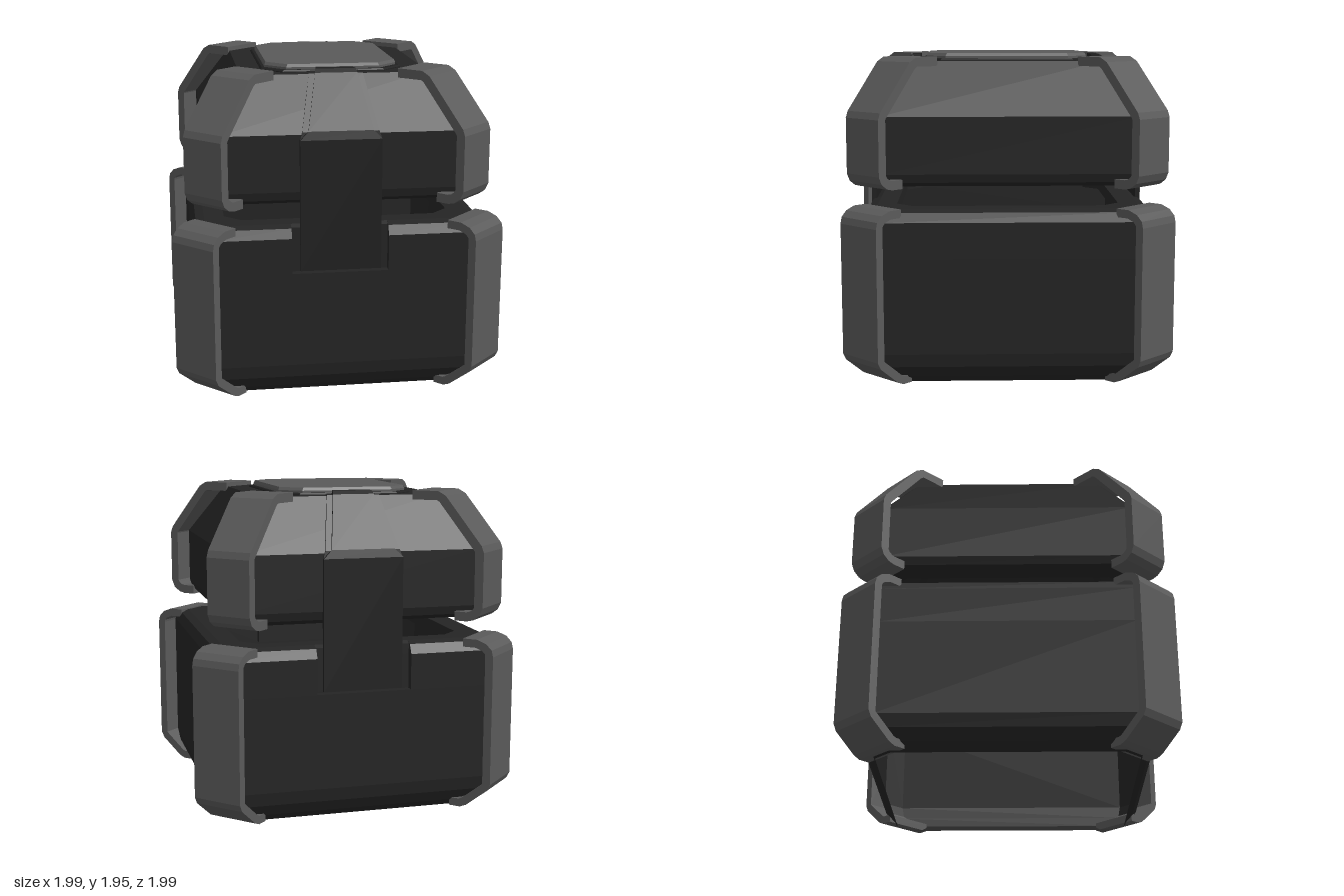
import * as THREE from 'three';

const material = (color) => new THREE.MeshStandardMaterial({ color, flatShading: true, side: THREE.DoubleSide });

// Skin a list of closed cross-sections (each a list of [x, y, z]), optionally capping the ends.
function loft(rings, capStart, capEnd) {
  const pos = [];
  const tri = (a, b, c) => pos.push(...a, ...b, ...c);
  const n = rings[0].length;
  for (let i = 0; i < rings.length - 1; i++) {
    for (let j = 0; j < n; j++) {
      const k = (j + 1) % n;
      const [a, b, c, d] = [rings[i][j], rings[i][k], rings[i + 1][k], rings[i + 1][j]];
      tri(a, b, c);
      tri(a, c, d);
    }
  }
  const first = rings[0], last = rings[rings.length - 1];
  for (let j = 1; j < n - 1; j++) {
    if (capStart) tri(first[0], first[j + 1], first[j]);
    if (capEnd) tri(last[0], last[j], last[j + 1]);
  }
  const geo = new THREE.BufferGeometry();
  geo.setAttribute('position', new THREE.Float32BufferAttribute(pos, 3));
  geo.computeVertexNormals();
  return geo;
}

// Rectangle with cut corners; a notch depth adds a recess in the front and back edges.
function section(hx, hz, cut, y, notch) {
  const half = (s) => {
    const pts = [[-hx + cut, hz]];
    if (notch !== undefined) {
      const l = s > 0 ? -0.3 : -0.275, r = s > 0 ? 0.275 : 0.3;
      pts.push([l, hz], [l, hz - notch], [r, hz - notch], [r, hz]);
    }
    pts.push([hx - cut, hz], [hx, hz - cut], [hx, -hz + cut]);
    return pts.map(([x, z]) => [s * x, y, s * z]);
  };
  // each half ends on the side edge; the other half continues from there
  return [...half(1), ...half(-1)];
}

// Bent strip: a profile of [radius, height] thickened inwards and extruded across its width.
function guardGeometry(path, thickness, width) {
  const inner = path.map(([r, y], i) => {
    const a = path[Math.max(i - 1, 0)], b = path[Math.min(i + 1, path.length - 1)];
    const dx = b[0] - a[0], dy = b[1] - a[1], len = Math.hypot(dx, dy);
    return [r + (dy / len) * thickness, y - (dx / len) * thickness];
  });
  const shape = new THREE.Shape([...path, ...inner.reverse()].map(([r, y]) => new THREE.Vector2(r, y)));
  const geo = new THREE.ExtrudeGeometry(shape, { depth: width, bevelEnabled: false });
  return geo.translate(0, 0, -width / 2);
}

// Flat plate with cut corners
function plateGeometry(hx, hz, cut, y, height) {
  return loft([section(hx, hz, cut, y), section(hx, hz, cut, y + height * 0.7),
    section(hx - 0.008, hz - 0.008, cut, y + height)], true, true);
}

// Strap from rows of [half width, outer y, outer z, inner y, inner z]
function strapGeometry(rows) {
  return loft(rows.map(([w, y, z, yi, zi]) => [[-w, y, z], [w, y, z], [w, yi, zi], [-w, yi, zi]]), true, true);
}

export function createModel() {
  const model = new THREE.Group();
  const shell = material(0x242424), dark = material(0x202020), grey = material(0x5a5a5a);
  const add = (parent, name, geo, mat) => {
    const mesh = new THREE.Mesh(geo, mat);
    mesh.name = name;
    parent.add(mesh);
    return mesh;
  };

  // Hollow base with rolled rim and a recess for each latch
  add(model, 'base', loft([
    section(0.77, 0.76, 0.1, 0.005, 0),
    section(0.825, 0.81, 0.1, 0.05, 0),
    section(0.865, 0.85, 0.11, 0.12, 0),
    section(0.88, 0.865, 0.11, 0.2, 0),
    section(0.88, 0.865, 0.11, 0.775, 0),
    section(0.88, 0.865, 0.11, 0.775, 0.05),
    section(0.88, 0.865, 0.11, 0.99, 0.05),
    section(0.85, 0.835, 0.11, 1.045, 0.02),
    section(0.8, 0.785, 0.11, 1.06, 0),
    section(0.68, 0.67, 0.1, 1.06, 0),
    section(0.68, 0.67, 0.1, 0.98, 0),
  ]), shell);

  // Lid with sloped shoulders, open underneath
  const lid = new THREE.Group();
  lid.name = 'lid';
  lid.position.x = -0.008;
  model.add(lid);
  add(lid, 'lidShell', loft([
    section(0.64, 0.68, 0.06, 1.25),
    section(0.64, 0.68, 0.06, 1.185),
    section(0.73, 0.77, 0.06, 1.185),
    section(0.765, 0.805, 0.06, 1.21),
    section(0.78, 0.82, 0.06, 1.26),
    section(0.78, 0.82, 0.06, 1.6),
    section(0.56, 0.6, 0.03, 1.915),
  ], false, true), shell);

  // Top plate on its low surround
  add(lid, 'plateSurround', plateGeometry(0.425, 0.525, 0.12, 1.9, 0.028), dark);
  add(lid, 'topPlate', plateGeometry(0.4, 0.495, 0.12, 1.9, 0.058), grey);

  // Front and back latch straps, each with a thin frame on the shoulder
  for (const [name, turn] of [['frontLatch', 0], ['backLatch', Math.PI]]) {
    const latch = new THREE.Group();
    latch.name = name;
    latch.rotation.y = turn;
    add(latch, 'strap', strapGeometry([
      [0.24, 0.785, 0.85, 0.785, 0.828],
      [0.24, 1.57, 0.85, 1.57, 0.81],
      [0.19, 1.62, 0.838, 1.6, 0.79],
      [0.125, 1.925, 0.625, 1.89, 0.59],
      [0.12, 1.945, 0.595, 1.9, 0.57],
      [0.11, 1.945, 0.54, 1.9, 0.54],
    ]), dark);
    add(latch, 'strapFrame', strapGeometry([
      [0.24, 1.57, 0.832, 1.57, 0.8],
      [0.225, 1.615, 0.825, 1.6, 0.79],
      [0.16, 1.92, 0.612, 1.89, 0.58],
      [0.14, 1.925, 0.53, 1.9, 0.53],
    ]), shell);
    lid.add(latch);
  }

  // Corner guards on base and lid
  const baseGuard = guardGeometry([
    [1.05, 1.067], [1.14, 1.067], [1.2, 1.045], [1.235, 1.01], [1.245, 0.97],
    [1.245, 0.18], [1.225, 0.14], [1.09, 0.03], [1.05, 0.013], [0.98, 0.013],
  ], 0.05, 0.32);
  const lidGuard = guardGeometry([
    [0.69, 1.942], [0.86, 1.942], [0.91, 1.915], [1.145, 1.63], [1.16, 1.59],
    [1.16, 1.26], [1.14, 1.215], [1.1, 1.185], [1.06, 1.175], [0.98, 1.175],
  ], 0.055, 0.29);
  for (const sx of [1, -1]) {
    for (const sz of [1, -1]) {
      const angle = Math.atan2(-sz, sx);
      add(model, 'baseCornerGuard', baseGuard, grey).rotation.y = angle;
      const upper = add(lid, 'lidCornerGuard', lidGuard, grey);
      upper.rotation.y = angle;
      upper.position.set(-0.018 * sx, 0, 0.035 * sz);
    }
  }
  return model;
}
